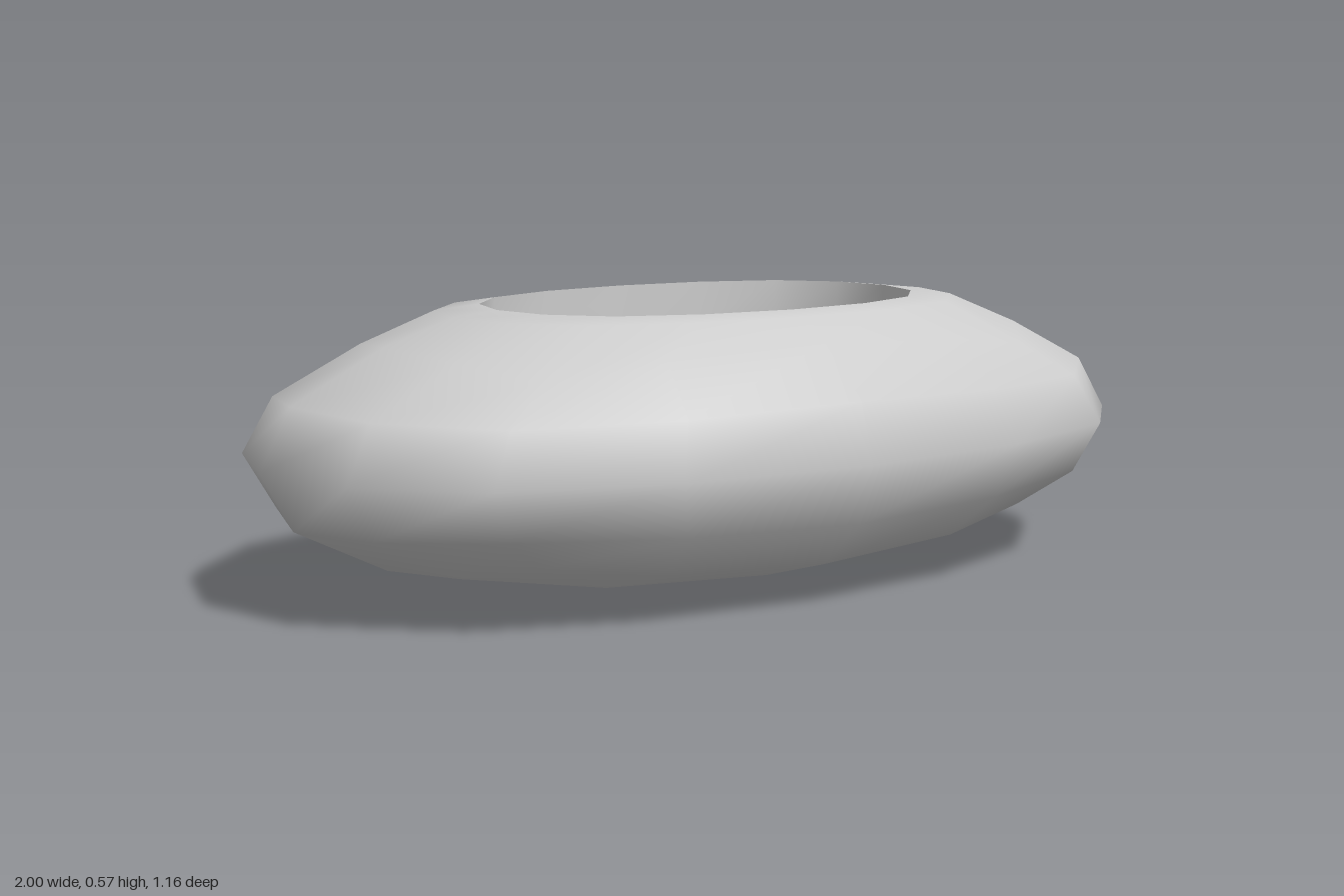
import * as THREE from 'three';
import { mergeVertices } from 'three/addons/utils/BufferGeometryUtils.js';

const SIDES = 16;
const RX = 1, RY = 0.295, RZ = 0.58;

// Cosine-like and sine-like values of the slightly squared 16-sided outline
const STEPS = [1, 0.935, 0.74, 0.405, 0];
function cos16(k) {
  k = ((k % SIDES) + SIDES) % SIDES;
  if (k > 8) k = SIDES - k;
  return k <= 4 ? STEPS[k] : -STEPS[8 - k];
}
const sin16 = (k) => cos16(k - 4);

// Horizontal loop of 16 points
function loop(rx, rz, y) {
  return Array.from({ length: SIDES }, (_, k) => [rx * cos16(k), y, rz * sin16(k)]);
}

// Quads joining two loops of 16 vertices, given by their vertex indices
function band(outer, inner) {
  const index = [];
  for (let k = 0; k < SIDES; k++) {
    const n = (k + 1) % SIDES;
    index.push(outer[k], inner[k], outer[n], outer[n], inner[k], inner[n]);
  }
  return index;
}

const range = (start) => Array.from({ length: SIDES }, (_, k) => start + k);

function indexedGeometry(positions, index) {
  const g = new THREE.BufferGeometry();
  g.setAttribute('position', new THREE.Float32BufferAttribute(positions, 3));
  g.setIndex(index);
  g.computeVertexNormals();
  return g;
}

// Rounded cube rule: sorted grid levels -> distances for levels 0, 1 and 2
const ROUNDING = {
  '200': [0, 0, 1],
  '210': [0, 0.405, 0.935],
  '220': [0, 0, 0.74],
  '211': [0, 0.375, 0.875],
  '221': [0, 0.35, 0.69],
  '222': [0, 0, 0.587],
};

function shellGeometry() {
  let box = new THREE.BoxGeometry(2, 2, 2, 4, 4, 4);
  const top = box.groups[2];
  box.deleteAttribute('normal');
  box.deleteAttribute('uv');
  // Leave the top patch open for the rim
  const kept = Array.from(box.index.array)
    .filter((_, i) => i < top.start || i >= top.start + top.count);
  box.setIndex(kept);
  box = mergeVertices(box);

  const p = box.attributes.position;
  const positions = [];
  const edge = [];
  for (let i = 0; i < p.count; i++) {
    const v = [p.getX(i), p.getY(i), p.getZ(i)];
    const level = v.map((c) => Math.round(Math.abs(c) * 2));
    const table = ROUNDING[[...level].sort((a, b) => b - a).join('')];
    const [x, y, z] = v.map((c, a) => Math.sign(c) * table[level[a]]);
    positions.push(x * RX, RY + y * RY, z * RZ);
    if (v[1] > 0.99 && Math.max(level[0], level[2]) === 2) {
      const angle = Math.atan2(v[2], v[0]);
      edge.push({ i, angle: angle < -1e-6 ? angle + 2 * Math.PI : angle });
    }
  }
  const edgeLoop = edge.sort((a, b) => a.angle - b.angle).map((e) => e.i);

  // Shoulder and rim around the opening
  const shoulder = range(p.count);
  const rim = range(p.count + SIDES);
  positions.push(...loop(0.59, 0.37, 0.562).flat(), ...loop(0.49, 0.32, 0.572).flat());
  const index = [...box.index.array, ...band(edgeLoop, shoulder), ...band(shoulder, rim)];
  return indexedGeometry(positions, index);
}

export function createModel() {
  const model = new THREE.Group();
  model.name = 'hollowedPebble';
  const material = new THREE.MeshStandardMaterial({ color: 0xcccccc });
  const add = (name, geometry) => {
    const mesh = new THREE.Mesh(geometry, material);
    mesh.name = name;
    model.add(mesh);
    return mesh;
  };

  add('shell', shellGeometry());

  // Shallow recess: upright wall and flat floor
  const floorY = 0.48;
  const wall = [...loop(0.49, 0.32, 0.572), ...loop(0.49, 0.32, floorY)].flat();
  add('recessWall', indexedGeometry(wall, band(range(0), range(SIDES))));

  const outline = loop(0.49, 0.32, 0).map(([x, , z]) => new THREE.Vector2(x, -z));
  const floor = new THREE.ShapeGeometry(new THREE.Shape(outline));
  floor.rotateX(-Math.PI / 2);
  add('recessFloor', floor).position.y = floorY;

  return model;
}
